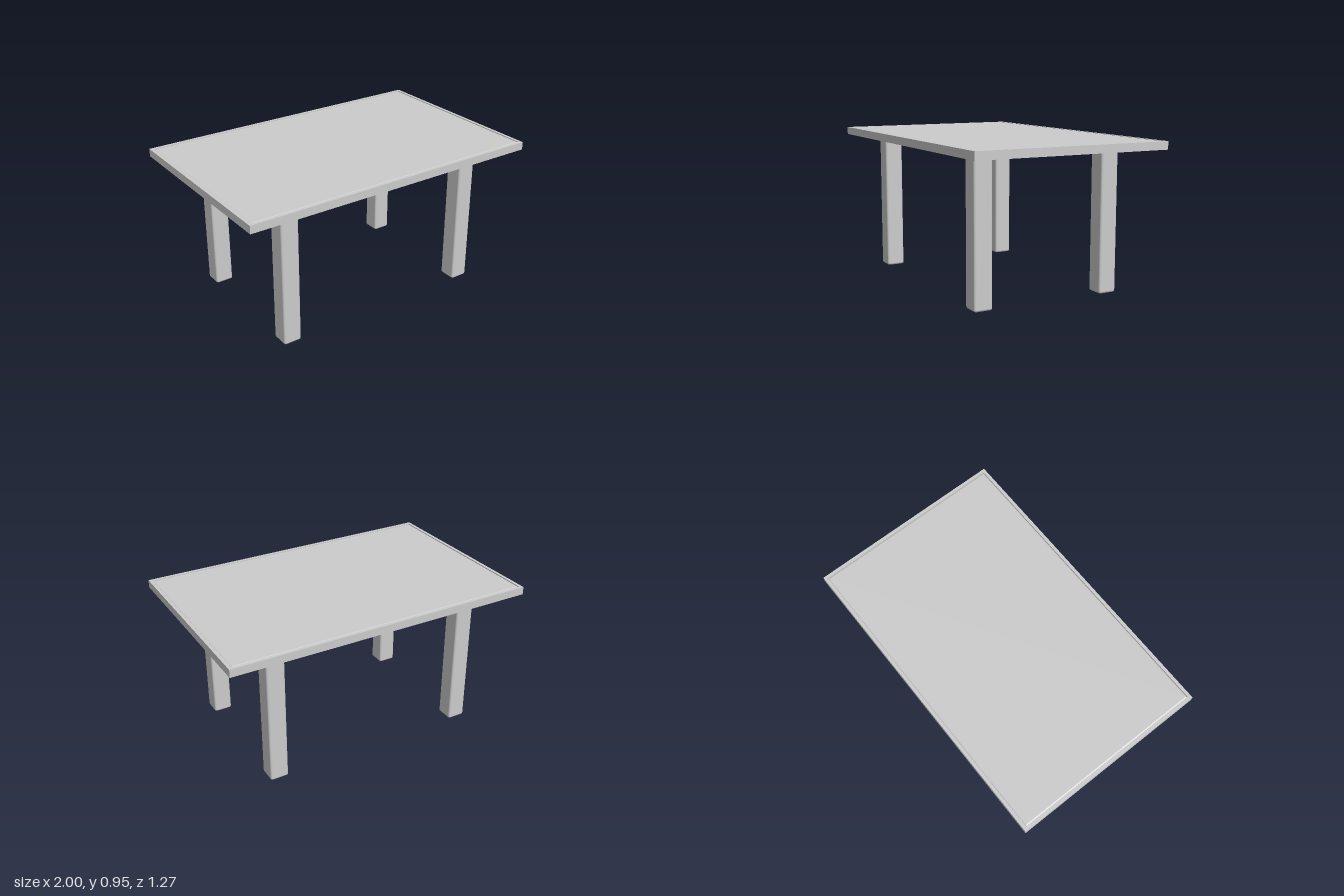
import * as THREE from 'three';
import { RoundedBoxGeometry } from 'three/addons/geometries/RoundedBoxGeometry.js';

const material = new THREE.MeshStandardMaterial({ color: 0xcccccc });

function rectangle(PathType, halfX, halfY) {
  return new PathType()
    .moveTo(-halfX, -halfY).lineTo(halfX, -halfY)
    .lineTo(halfX, halfY).lineTo(-halfX, halfY).closePath();
}

export function createModel() {
  const table = new THREE.Group();
  table.name = 'table';

  function add(name, geometry, x, y, z) {
    const mesh = new THREE.Mesh(geometry, material);
    mesh.name = name;
    mesh.position.set(x, y, z);
    table.add(mesh);
  }

  // Thin rim running around the table top
  const rim = rectangle(THREE.Shape, 1, 0.633);
  rim.holes.push(rectangle(THREE.Path, 0.98, 0.613));
  const rimGeometry = new THREE.ExtrudeGeometry(rim, { depth: 0.05, bevelEnabled: false });
  rimGeometry.rotateX(-Math.PI / 2);
  add('topRim', rimGeometry, 0, 0.902, 0);

  // Inset panel; its bevelled edge leaves a groove against the rim
  const bevel = 0.01;
  const panelGeometry = new THREE.ExtrudeGeometry(
    rectangle(THREE.Shape, 0.97, 0.603),
    { depth: 0.032, bevelThickness: bevel, bevelSize: bevel, bevelSegments: 2 },
  );
  panelGeometry.rotateX(-Math.PI / 2);
  add('topPanel', panelGeometry, 0, 0.899 + bevel, 0);

  // Four square legs with softened edges
  const legHeight = 0.92;
  const legGeometry = new RoundedBoxGeometry(0.118, legHeight, 0.118, 2, 0.014);
  for (const [side, x] of [['left', 0.661], ['right', -0.67]]) {
    for (const [end, z] of [['Front', 0.433], ['Back', -0.427]]) {
      add(`${side}${end}Leg`, legGeometry, x, legHeight / 2, z);
    }
  }

  return table;
}
